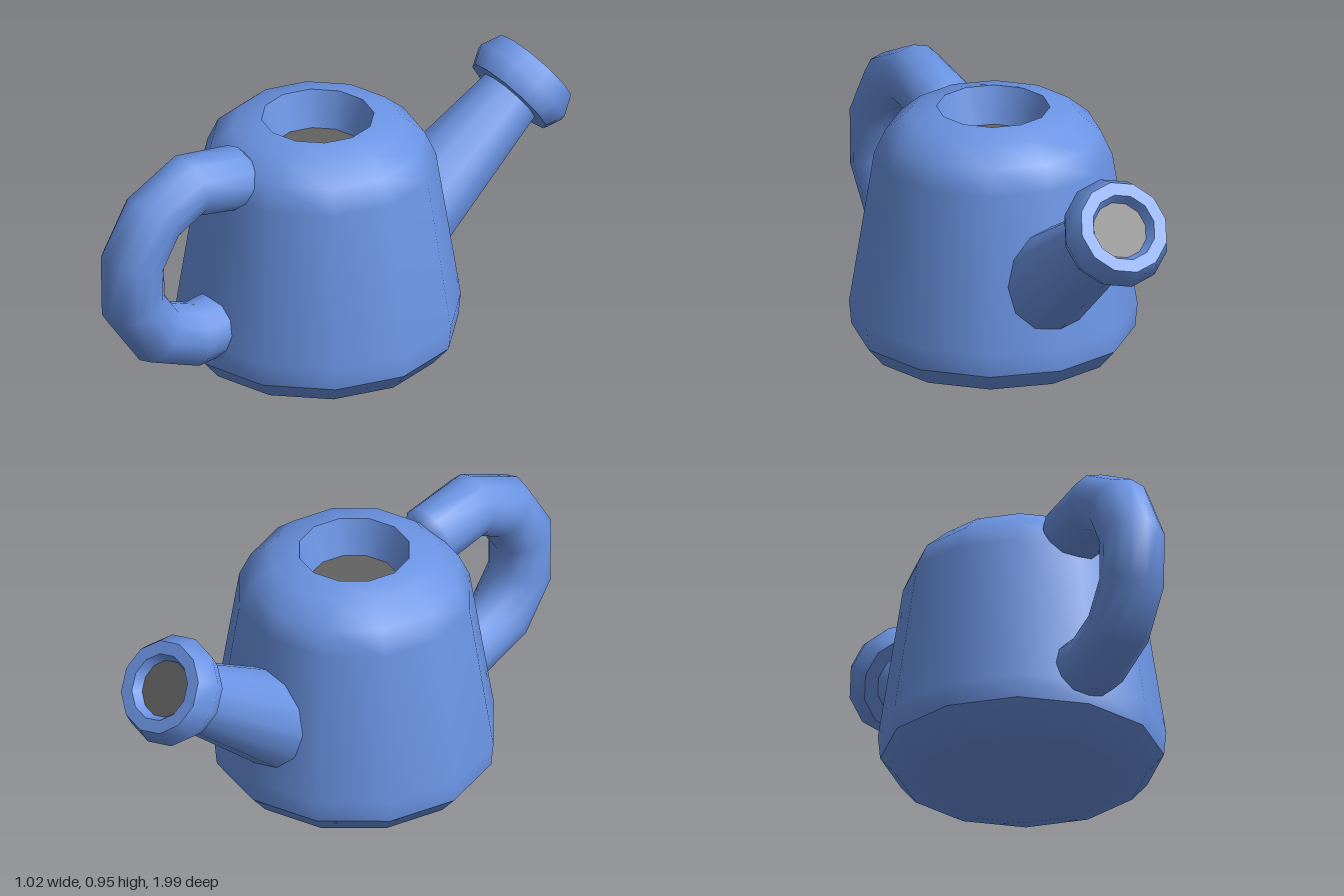
import * as THREE from 'three';

const SIDES = 12;
const blue = new THREE.MeshStandardMaterial({ color: 0x6b94e4 });
blue.name = 'blue enamel';
const grey = new THREE.MeshStandardMaterial({ color: 0x626262 });
grey.name = 'dark grey inside';

// Turned surface from [radius, height] points; faces outward when the profile rises
function turned(name, profile, material = blue) {
  const points = profile.map(([r, y]) => new THREE.Vector2(r, y));
  const mesh = new THREE.Mesh(new THREE.LatheGeometry(points, SIDES), material);
  mesh.name = name;
  return mesh;
}

// Smooth bent tube through [z, y, radius] stations in the plane x = 0
function bentTube(name, stations) {
  const positions = [], index = [];
  const last = stations.length - 1;
  stations.forEach(([z, y, r], i) => {
    const a = stations[Math.max(i - 1, 0)], b = stations[Math.min(i + 1, last)];
    const length = Math.hypot(b[0] - a[0], b[1] - a[1]);
    const tz = (b[0] - a[0]) / length, ty = (b[1] - a[1]) / length;
    for (let j = 0; j < SIDES; j++) {
      const angle = (j / SIDES) * Math.PI * 2;
      const across = Math.cos(angle) * r, out = Math.sin(angle) * r;
      positions.push(across, y + out * tz, z - out * ty);
      if (i < last) {
        const k = (j + 1) % SIDES, p = i * SIDES, q = p + SIDES;
        index.push(p + j, p + k, q + k, p + j, q + k, q + j);
      }
    }
  });
  const geometry = new THREE.BufferGeometry();
  geometry.setAttribute('position', new THREE.Float32BufferAttribute(positions, 3));
  geometry.setIndex(index);
  geometry.computeVertexNormals();
  const mesh = new THREE.Mesh(geometry, blue);
  mesh.name = name;
  return mesh;
}

export function createModel() {
  const can = new THREE.Group();
  can.name = 'wateringCan';

  // Body with a shallow filling hole in the top
  const body = new THREE.Group();
  body.name = 'body';
  body.position.z = 0.065;
  body.add(
    turned('bodyBase', [[0, 0], [0.35, 0]]),
    turned('bodyBevel', [[0.35, 0], [0.44, 0.025], [0.5, 0.095]]),
    turned('bodyWall', [[0.5, 0.095], [0.508, 0.18], [0.42, 0.745], [0.38, 0.832], [0.3, 0.9], [0.2, 0.923]]),
    turned('fillingHoleWall', [[0.2, 0.923], [0.16, 0.79]]),
    turned('fillingHoleFloor', [[0.16, 0.79], [0, 0.79]], grey),
  );
  can.add(body);

  // Spout, leaning up and back, with a flared head at its end
  const spout = new THREE.Group();
  spout.name = 'spout';
  spout.position.set(0, 0.722, -0.783);
  spout.rotation.x = -0.948;
  spout.add(
    turned('spoutTube', [[0.19, -0.7], [0.118, 0.01]]),
    turned('headBack', [[0.1, 0], [0.171, 0]]),
    turned('headSide', [[0.171, 0], [0.2, 0.068], [0.167, 0.142]]),
    turned('headRim', [[0.167, 0.142], [0.12, 0.142]]),
    turned('headHoleWall', [[0.12, 0.142], [0.102, 0.105]]),
    turned('headHoleFloor', [[0.102, 0.105], [0, 0.105]], grey),
  );
  can.add(spout);

  // Rounded handle on the front, both ends sunk into the body
  const r = 0.115;
  can.add(bentTube('handle', [
    [0.388, 0.795, 0], [0.39, 0.795, 0.08], [0.435, 0.8, r],
    [0.64, 0.834, r], [0.795, 0.757, r], [0.885, 0.607, r],
    [0.882, 0.435, r], [0.783, 0.296, r], [0.62, 0.233, r],
    [0.46, 0.25, r], [0.42, 0.255, 0.08], [0.418, 0.255, 0],
  ]));

  return can;
}
